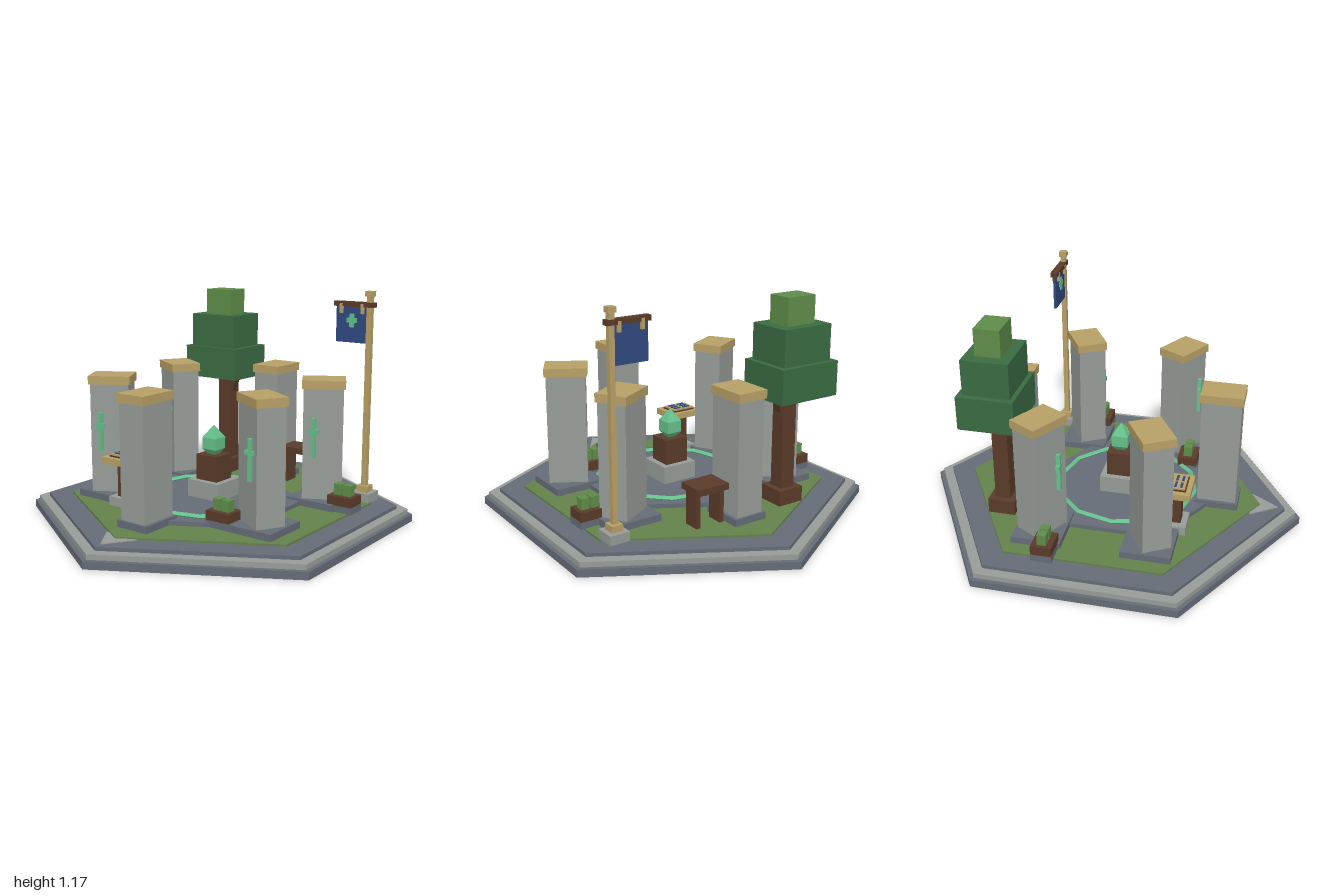
import * as THREE from 'three';

const mat = (name, color) => new THREE.MeshStandardMaterial({ name, color, flatShading: true });

export function createModel() {
  const slate = mat('slate', 0x656c76);
  const stone = mat('paleStone', 0x979c98);
  const grass = mat('grass', 0x64824b);
  const darkLeaf = mat('darkLeaf', 0x3a6b42);
  const lightLeaf = mat('lightLeaf', 0x5f8c49);
  const wood = mat('wood', 0x5a3b29);
  const sand = mat('sandstone', 0xb8a066);
  const jade = mat('jade', 0x66c08c);
  const blue = mat('bannerBlue', 0x30497f);

  const root = new THREE.Group();
  root.name = 'stoneCircleShrine';

  const add = (parent, name, geo, material, x = 0, y = 0, z = 0) => {
    const m = new THREE.Mesh(geo, material);
    m.name = name;
    m.position.set(x, y, z);
    parent.add(m);
    return m;
  };
  // Box given by its centre in x and z and by its bottom and top heights
  const box = (parent, name, material, x, z, w, d, y0, y1) =>
    add(parent, name, new THREE.BoxGeometry(w, y1 - y0, d), material, x, (y0 + y1) / 2, z);
  const hex = (name, material, r, y0, y1, z = 0) =>
    add(root, name, new THREE.CylinderGeometry(r, r, y1 - y0, 6), material, 0, (y0 + y1) / 2, z);
  const group = (name) => {
    const g = new THREE.Group();
    g.name = name;
    root.add(g);
    return g;
  };

  // Stepped hexagonal base, lawn and plaza
  hex('baseStep', slate, 1, 0, 0.038);
  hex('middleStep', stone, 0.976, 0.038, 0.064);
  hex('upperStep', slate, 0.92, 0.064, 0.082);
  hex('lawn', grass, 0.79, 0.082, 0.092);
  hex('plaza', slate, 0.485, 0.092, 0.114, 0.083);

  // Pale pointed slab at the front corner
  const tip = new THREE.Shape([[-0.095, -0.745], [0.095, -0.745], [0, -0.885]].map(p => new THREE.Vector2(...p)));
  const tipGeo = new THREE.ExtrudeGeometry(tip, { depth: 0.005, bevelEnabled: false });
  tipGeo.rotateX(-Math.PI / 2);
  add(root, 'frontSlab', tipGeo, stone, 0, 0.081, 0);

  // Glowing ring set in the plaza
  const ringGeo = new THREE.TorusGeometry(0.367, 0.014, 4, 12);
  ringGeo.rotateX(Math.PI / 2);
  add(root, 'plazaRing', ringGeo, jade, 0, 0.12, 0.077);

  // Altar and crystal
  const altar = group('altar');
  altar.position.z = 0.045;
  box(altar, 'altarFoot', stone, 0, 0, 0.195, 0.185, 0.11, 0.204);
  box(altar, 'altarBlock', wood, 0, 0, 0.132, 0.125, 0.204, 0.336);
  const prism = (top, bottom, y0, y1) => {
    const g = new THREE.CylinderGeometry(top * Math.SQRT2, bottom * Math.SQRT2, y1 - y0, 4);
    g.rotateY(Math.PI / 4);
    add(altar, 'crystal', g, jade, 0, (y0 + y1) / 2, 0);
  };
  prism(0.042, 0.022, 0.336, 0.364);
  prism(0.042, 0.042, 0.364, 0.424);
  prism(0, 0.042, 0.424, 0.488);

  // Six standing pillars, long side pointing outward
  for (let i = 0; i < 6; i++) {
    const a = i * Math.PI / 3;
    const x = 0.546 * Math.sin(a), z = 0.02 + 0.546 * Math.cos(a);
    const side = i % 3 !== 0;
    const p = group('pillar');
    p.position.set(x, 0, z);
    box(p, 'pillarFoot', slate, 0, 0, side ? 0.272 : 0.182, side ? 0.25 : 0.224, 0.09, 0.127);
    box(p, 'pillarShaft', stone, 0, 0, 0.147, 0.2, 0.127, 0.695).rotation.y = a;
    box(p, 'pillarCap', sand, 0, 0, 0.163, 0.218, 0.695, 0.738).rotation.y = a;
    if (side) {
      box(p, 'runeStem', jade, 0, 0.093, 0.02, 0.02, 0.347, 0.547);
      box(p, 'runeBar', jade, 0, 0.094, 0.056, 0.02, 0.472, 0.492);
    }
  }

  // Planters with two shrubs each
  for (const [x, z] of [[-0.654, -0.19], [0.635, -0.198], [0.305, 0.365]]) {
    const p = group('planter');
    p.position.set(x, 0, z);
    box(p, 'planterPad', slate, 0, 0, 0.136, 0.106, 0.09, 0.125);
    box(p, 'planterBox', wood, 0, 0, 0.134, 0.104, 0.125, 0.172);
    for (const s of [-1, 1]) box(p, 'shrub', lightLeaf, s * 0.026, 0, 0.042, 0.045, 0.172, 0.228);
  }

  // Tree
  const tree = group('tree');
  const tx = -0.31, tz = -0.5;
  box(tree, 'treeTub', wood, tx, tz, 0.145, 0.14, 0.09, 0.17);
  box(tree, 'trunk', wood, tx, tz, 0.08, 0.08, 0.17, 0.66);
  for (const s of [-1, 1]) {
    const b = box(tree, 'branch', wood, tx + s * 0.03, tz, 0.04, 0.045, 0.51, 0.68);
    b.rotation.z = -s * 0.3;
  }
  box(tree, 'lowerCrown', darkLeaf, -0.338, -0.505, 0.345, 0.285, 0.643, 0.817);
  box(tree, 'middleCrown', darkLeaf, -0.338, -0.503, 0.287, 0.236, 0.817, 0.998);
  box(tree, 'topCrown', lightLeaf, -0.337, -0.503, 0.168, 0.13, 0.998, 1.137);

  // Bench
  const bench = group('bench');
  box(bench, 'benchSeat', wood, 0.178, -0.51, 0.176, 0.138, 0.264, 0.296);
  for (const s of [-1, 1]) box(bench, 'benchLeg', wood, 0.178 + s * 0.068, -0.51, 0.024, 0.085, 0.09, 0.264);

  // Reading table with an open board of dashes
  const table = group('readingTable');
  const bx = -0.293, bz = 0.39;
  box(table, 'tableFoot', stone, bx, bz, 0.14, 0.12, 0.09, 0.138);
  box(table, 'tablePost', wood, bx, bz, 0.07, 0.06, 0.138, 0.312);
  box(table, 'tableTop', sand, bx, bz, 0.19, 0.157, 0.312, 0.345);
  box(table, 'boardFrame', wood, bx, bz, 0.134, 0.108, 0.345, 0.352);
  box(table, 'boardPage', sand, bx, bz, 0.122, 0.096, 0.352, 0.359);
  for (const s of [-1, 1])
    for (let r = -1; r <= 1; r++)
      box(table, 'boardDash', blue, bx + s * 0.03, bz + r * 0.029, 0.042, 0.011, 0.359, 0.364);

  // Banner pole
  const flag = group('bannerPole');
  const fx = 0.627, fz = -0.425;
  box(flag, 'poleFoot', stone, fx, fz, 0.104, 0.104, 0.09, 0.137);
  box(flag, 'poleSocket', sand, fx, fz, 0.06, 0.06, 0.137, 0.17);
  box(flag, 'pole', sand, fx, fz, 0.027, 0.027, 0.17, 1.148);
  box(flag, 'finial', sand, fx, fz, 0.04, 0.04, 1.145, 1.172);
  box(flag, 'crossbar', wood, 0.541, fz, 0.226, 0.037, 1.09, 1.115);
  box(flag, 'banner', blue, 0.527, fz, 0.176, 0.014, 0.907, 1.092);
  for (const x of [0.472, 0.592]) box(flag, 'bannerClip', sand, x, fz, 0.016, 0.042, 1.056, 1.106);
  box(flag, 'emblemStem', jade, 0.53, fz + 0.01, 0.026, 0.008, 0.985, 1.055);
  box(flag, 'emblemBar', jade, 0.53, fz + 0.01, 0.056, 0.007, 1.008, 1.034);

  return root;
}
